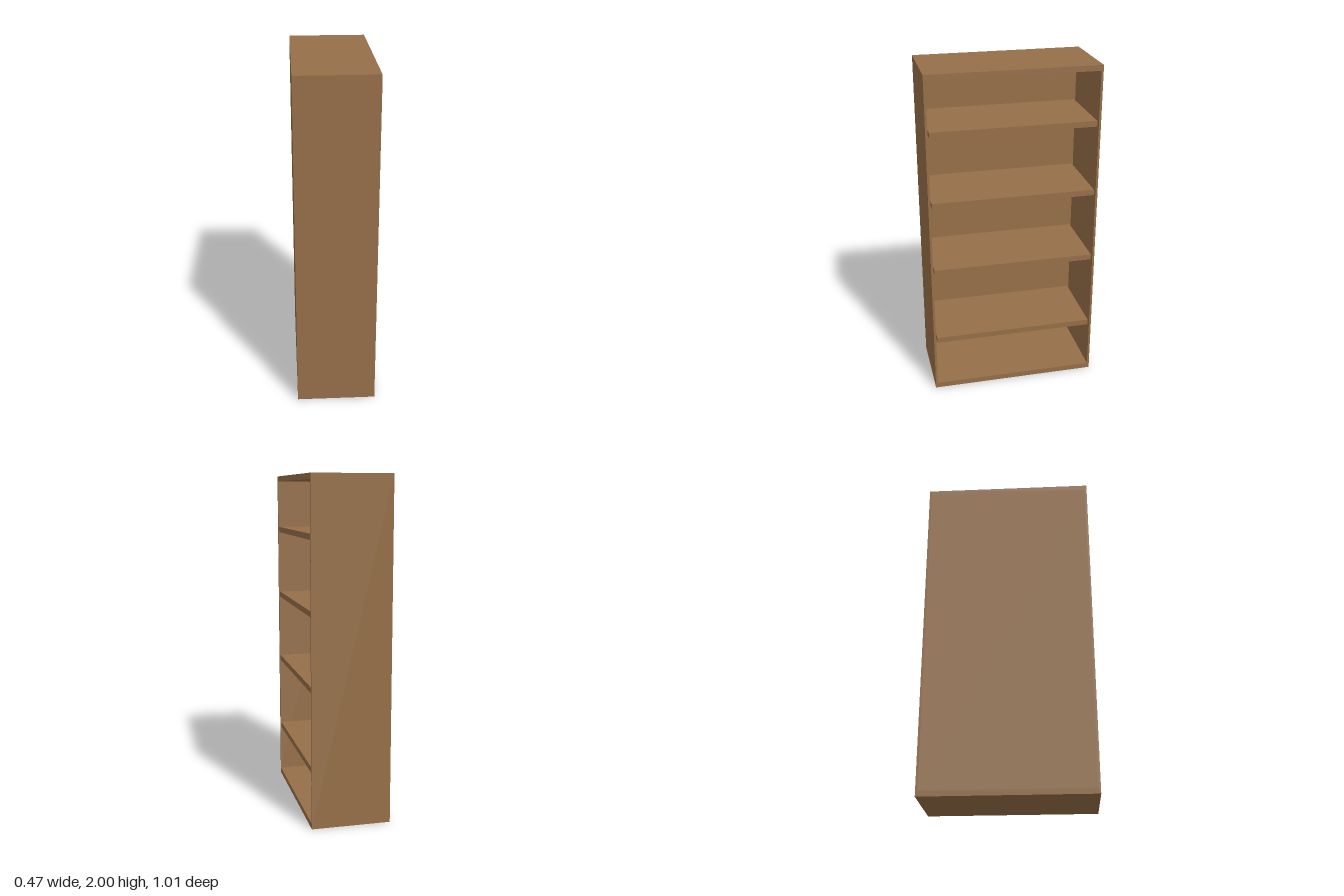
import * as THREE from 'three';

const HEIGHT = 2, HALF_WIDTH = 0.503, HALF_DEPTH = 0.233;
const SIDE = 0.013, SLAB = 0.033, BACK = 0.012;

export function createModel() {
  const group = new THREE.Group();
  group.name = 'bookcase';
  const wood = new THREE.MeshStandardMaterial({ color: 0x966f48 });
  wood.name = 'brown wood';

  function add(name, geometry, x, y, z) {
    const mesh = new THREE.Mesh(geometry, wood);
    mesh.name = name;
    mesh.position.set(x, y, z);
    group.add(mesh);
    return mesh;
  }

  // Outer frame: sides, top and base in one piece, open towards +x
  const outline = new THREE.Shape();
  outline.moveTo(-HALF_WIDTH, 0).lineTo(HALF_WIDTH, 0)
    .lineTo(HALF_WIDTH, HEIGHT).lineTo(-HALF_WIDTH, HEIGHT).closePath();
  const inner = HALF_WIDTH - SIDE;
  const opening = new THREE.Path();
  opening.moveTo(-inner, SLAB).lineTo(-inner, HEIGHT - SLAB)
    .lineTo(inner, HEIGHT - SLAB).lineTo(inner, SLAB).closePath();
  outline.holes.push(opening);
  const frame = new THREE.ExtrudeGeometry(outline, { depth: 2 * HALF_DEPTH, bevelEnabled: false });
  frame.rotateY(Math.PI / 2);
  add('frame', frame, -HALF_DEPTH, 0, 0);

  // Back panel closing the -x side, set inside the frame
  add('backPanel', new THREE.BoxGeometry(BACK, HEIGHT - 2 * SLAB, 2 * inner),
    -HALF_DEPTH + BACK / 2, HEIGHT / 2, 0);

  // Shelves, slightly narrower than the opening
  const recess = 0.004;
  const shelfDepth = 2 * HALF_DEPTH - BACK - recess;
  [0.344, 0.81, 1.238, 1.661].forEach((y, i) => {
    add(`shelf${i + 1}`, new THREE.BoxGeometry(shelfDepth, 0.034, 0.964),
      (BACK - recess) / 2, y, 0);
  });

  return group;
}
